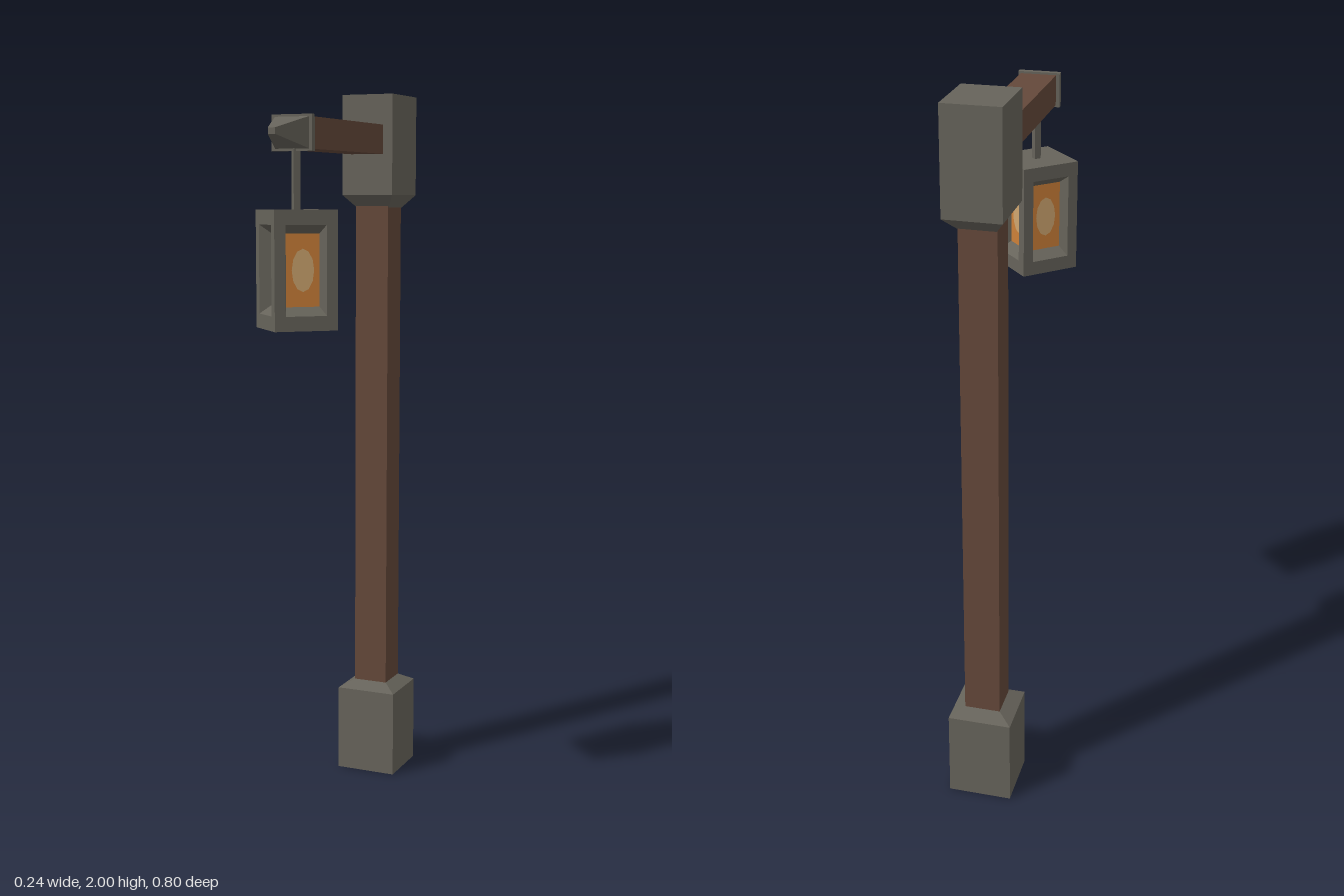
import * as THREE from 'three';

const mat = (name, color, side = THREE.FrontSide) => {
  const m = new THREE.MeshStandardMaterial({ color, side });
  m.name = name;
  return m;
};

// Stacked rectangles along y: each section is [y, width, depth]
function loft(sections, capBottom = true, capTop = true) {
  const rings = sections.map(([y, w, d]) =>
    [[1, 1], [1, -1], [-1, -1], [-1, 1]].map(([sx, sz]) => [sx * w / 2, y, sz * d / 2]));
  const pos = [];
  const quad = (a, b, c, d) => pos.push(...a, ...b, ...c, ...a, ...c, ...d);
  for (let i = 0; i + 1 < rings.length; i++) {
    const lo = rings[i], hi = rings[i + 1];
    for (let k = 0; k < 4; k++) {
      const n = (k + 1) % 4;
      quad(lo[k], lo[n], hi[n], hi[k]);
    }
  }
  const first = rings[0], last = rings[rings.length - 1];
  if (capBottom) quad(first[3], first[2], first[1], first[0]);
  if (capTop) quad(...last);
  const g = new THREE.BufferGeometry();
  g.setAttribute('position', new THREE.Float32BufferAttribute(pos, 3));
  g.computeVertexNormals();
  return g;
}

export function createModel() {
  const model = new THREE.Group();
  model.name = 'lanternPost';
  const metal = mat('weathered iron', 0x66635a, THREE.DoubleSide);
  const wood = mat('dark wood', 0x64483a);
  const amber = mat('amber glass', 0xcc8038);
  const glow = mat('pale glow', 0xcfa670);

  const add = (parent, name, geometry, material, x = 0, y = 0, z = 0) => {
    const mesh = new THREE.Mesh(geometry, material);
    mesh.name = name;
    mesh.position.set(x, y, z);
    parent.add(mesh);
    return mesh;
  };

  // Upright post with an open-bottomed foot and a head block
  const px = -0.007, pz = -0.302;
  add(model, 'post', new THREE.BoxGeometry(0.1, 1.5, 0.1), wood, px, 0.97, pz);
  add(model, 'foot', loft([[0, 0.177, 0.172], [0.25, 0.177, 0.172], [0.272, 0.1, 0.1]], false),
    metal, px, 0, pz);
  add(model, 'headBlock', loft([[1.685, 0.1, 0.1], [1.72, 0.153, 0.187], [2, 0.153, 0.187]]),
    metal, -0.006, 0, -0.3065);

  // Horizontal arm, collar and pointed tip
  const ay = 1.875;
  add(model, 'arm', new THREE.BoxGeometry(0.097, 0.081, 0.5), wood, -0.0065, ay, 0.02);
  add(model, 'armCollar', new THREE.BoxGeometry(0.114, 0.092, 0.017), metal, -0.008, ay, 0.2735);
  const tip = add(model, 'armTip', loft([[0.28, 0.097, 0.081], [0.4, 0.02, 0.016]]),
    metal, -0.007, ay, 0);
  tip.rotation.x = Math.PI / 2;

  // Hanging lantern, turned corner-forward
  const lantern = new THREE.Group();
  lantern.name = 'lantern';
  lantern.position.set(0, 1.529, 0.274);
  lantern.rotation.y = THREE.MathUtils.degToRad(42.6);
  model.add(lantern);

  const S = 0.168, H = 0.306;      // body
  const OW = 0.11, OH = 0.23;      // window opening
  const IW = 0.09, IH = 0.186;     // glass
  const depth = 0.03;
  add(lantern, 'hangingRod', new THREE.BoxGeometry(0.018, 0.17, 0.018), metal, 0, H / 2 + 0.08, 0);

  for (const s of [1, -1]) {
    const lid = add(lantern, s > 0 ? 'lanternTop' : 'lanternBottom',
      new THREE.PlaneGeometry(S, S), metal, 0, s * H / 2, 0);
    lid.rotation.x = -s * Math.PI / 2;
  }

  const rect = (path, w, h) => path.moveTo(-w / 2, -h / 2).lineTo(w / 2, -h / 2)
    .lineTo(w / 2, h / 2).lineTo(-w / 2, h / 2).closePath();
  const frameShape = rect(new THREE.Shape(), S, H);
  frameShape.holes.push(rect(new THREE.Path(), OW, OH));
  const frameGeo = new THREE.ShapeGeometry(frameShape);
  const revealGeo = loft([[-depth, IW, IH], [0, OW, OH]], false, false);
  const glassGeo = new THREE.PlaneGeometry(IW, IH);
  const glowGeo = new THREE.CircleGeometry(1, 12).scale(0.03, 0.055, 1);

  // Four identical window sides
  for (let i = 0; i < 4; i++) {
    const side = new THREE.Group();
    side.name = 'lanternSide';
    side.rotation.y = i * Math.PI / 2;
    lantern.add(side);
    add(side, 'windowFrame', frameGeo, metal, 0, 0, S / 2);
    add(side, 'windowReveal', revealGeo, metal, 0, 0, S / 2).rotation.x = Math.PI / 2;
    add(side, 'glass', glassGeo, amber, 0, 0, S / 2 - depth);
    add(side, 'glassGlow', glowGeo, glow, 0, 0, S / 2 - depth + 0.002);
  }
  return model;
}
